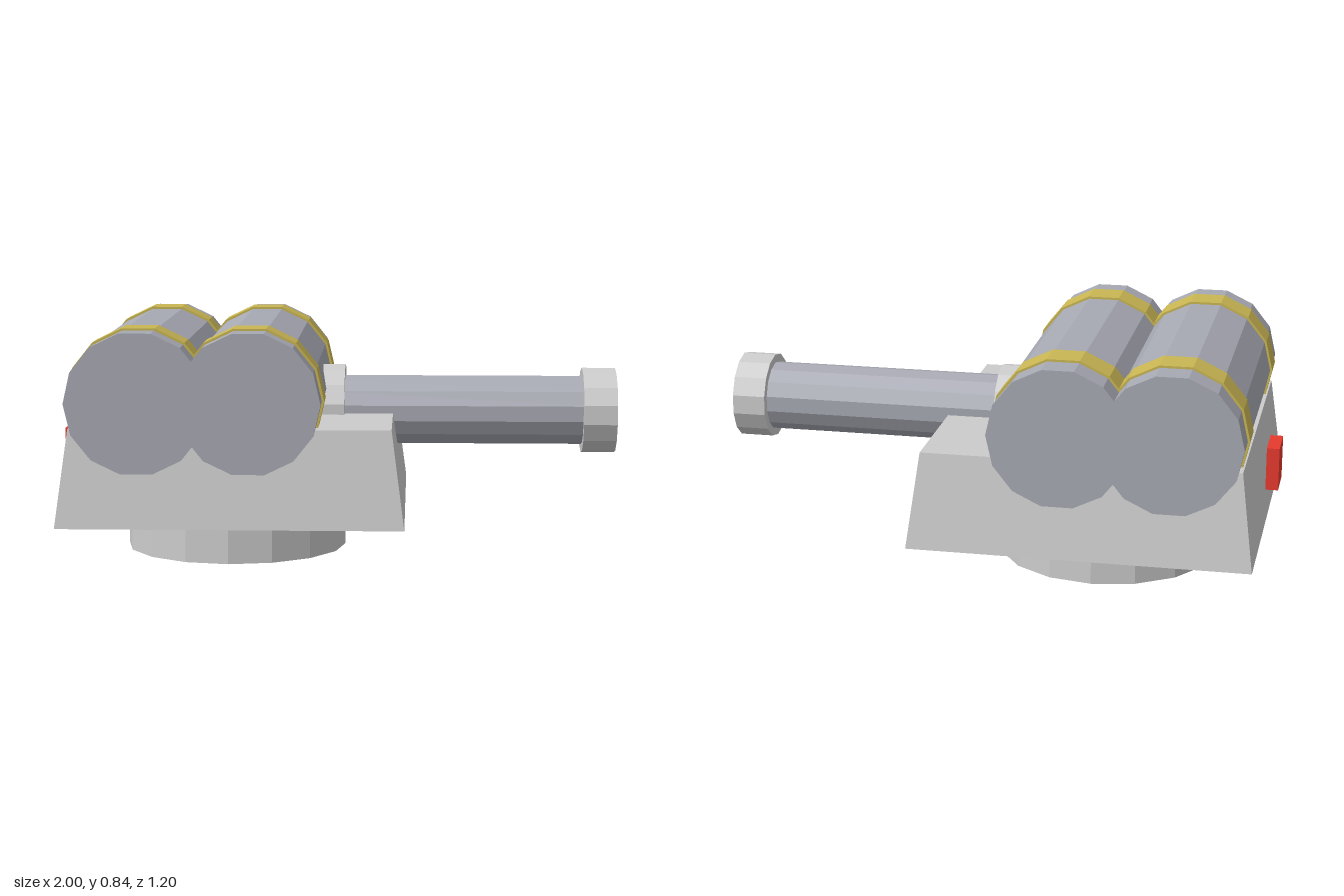
import * as THREE from 'three';

const mat = (color) => new THREE.MeshStandardMaterial({ color, flatShading: true });

export function createModel() {
  const model = new THREE.Group();
  const grey = mat(0xcccccc);
  const steel = mat(0xa7a9b3);
  const yellow = mat(0xc9b653);
  const red = mat(0xe63a2d);

  const add = (name, geometry, material, x, y, z) => {
    const mesh = new THREE.Mesh(geometry, material);
    mesh.name = name;
    mesh.position.set(x, y, z);
    model.add(mesh);
    return mesh;
  };

  // 14-sided cylinders lying along z or x
  const lying = (radius, length) =>
    new THREE.CylinderGeometry(radius, radius, length, 14, 1, false, Math.PI / 2);
  const alongZ = (radius, length) => lying(radius, length).rotateX(Math.PI / 2);
  const alongX = (name, radius, x0, x1, material) =>
    add(name, lying(radius, x1 - x0).rotateZ(-Math.PI / 2), material, (x0 + x1) / 2, 0.5, 0);

  // Round pedestal
  add('pedestal', new THREE.CylinderGeometry(0.4, 0.4, 0.16, 16), grey, -0.38, 0.08, 0);

  // Housing: a box whose top is drawn in
  const housing = new THREE.BoxGeometry(1.2, 0.34, 1.2);
  const p = housing.attributes.position;
  for (let i = 0; i < p.count; i++) {
    if (p.getY(i) > 0) p.setXYZ(i, p.getX(i) * 0.925, p.getY(i), p.getZ(i) * 0.925);
  }
  housing.computeVertexNormals();
  add('housing', housing, grey, -0.36, 0.33, 0);

  // Twin tanks, each with two straps
  for (const x of [-0.675, -0.292]) {
    add('tank', alongZ(0.247, 1.2), steel, x, 0.592, 0);
    for (const z of [-0.433, 0.433]) {
      add('tankStrap', alongZ(0.255, 0.123), yellow, x, 0.592, z);
    }
  }

  // Barrel with its collar and muzzle
  alongX('barrelCollar', 0.165, -0.12, 0.02, grey);
  alongX('barrel', 0.125, -0.1, 0.99, steel);
  alongX('muzzle', 0.155, 0.88, 1, grey);

  // Side button
  add('button', new THREE.BoxGeometry(0.045, 0.155, 0.155), red, -0.9775, 0.358, 0);

  return model;
}
